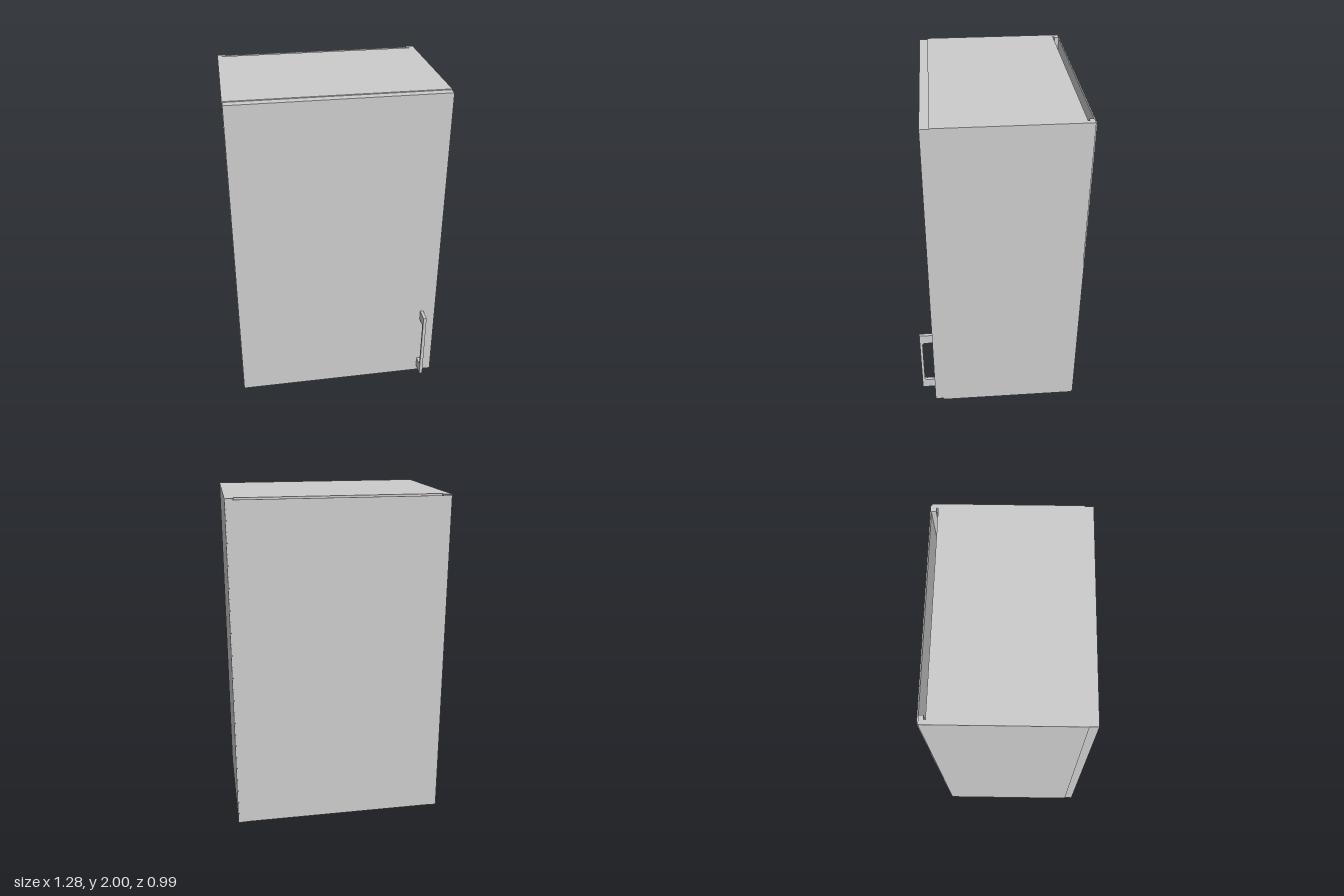
import * as THREE from 'three';

export function createModel() {
  const group = new THREE.Group();
  group.name = 'wallCabinet';
  const material = new THREE.MeshStandardMaterial({ color: 0xcccccc });

  const add = (name, geometry) => {
    const mesh = new THREE.Mesh(geometry, material);
    mesh.name = name;
    group.add(mesh);
    return mesh;
  };
  // Box given by its limits on each axis
  const panel = (name, [x0, x1], [y0, y1], [z0, z1]) =>
    add(name, new THREE.BoxGeometry(x1 - x0, y1 - y0, z1 - z0))
      .position.set((x0 + x1) / 2, (y0 + y1) / 2, (z0 + z1) / 2);

  // Side panels: plan section with a groove near the back, extruded upwards
  const outer = 0.64, inner = 0.59, grooveX = 0.613;
  const back = -0.49, front = 0.365;
  for (const [name, s] of [['leftSide', 1], ['rightSide', -1]]) {
    const section = new THREE.Shape([
      [outer, back], [outer, front], [inner, front], [inner, -0.453],
      [grooveX, -0.453], [grooveX, -0.463], [inner, -0.463], [inner, back],
    ].map(([x, z]) => new THREE.Vector2(s * x, -z)));
    add(name, new THREE.ExtrudeGeometry(section, { depth: 2, bevelEnabled: false })
      .rotateX(-Math.PI / 2));
  }

  // Top and bottom boards stop short of the back, leaving a slot
  panel('bottomBoard', [-inner, inner], [0, 0.05], [-0.453, front]);
  panel('topBoard', [-inner, inner], [1.95, 2], [-0.453, front]);

  // Thin back sheet, slightly inset from the outline
  panel('backSheet', [-0.634, 0.634], [0.006, 1.994], [-0.497, back]);

  // Door, slightly smaller than the carcass
  panel('door', [-0.637, 0.637], [0.008, 1.995], [front, 0.415]);

  // Bow handle: side outline with rounded inner corners, extruded across x
  const y0 = 0.045, y1 = 0.505, post = 0.065, r = 0.018;
  const zDoor = 0.415, zGrip = 0.48, zFront = 0.497;
  const bow = new THREE.Shape();
  bow.moveTo(-zDoor, y0);
  bow.lineTo(-zDoor, y0 + post);
  bow.lineTo(-zGrip + r, y0 + post);
  bow.quadraticCurveTo(-zGrip, y0 + post, -zGrip, y0 + post + r);
  bow.lineTo(-zGrip, y1 - post - r);
  bow.quadraticCurveTo(-zGrip, y1 - post, -zGrip + r, y1 - post);
  bow.lineTo(-zDoor, y1 - post);
  bow.lineTo(-zDoor, y1);
  bow.lineTo(-zFront, y1);
  bow.lineTo(-zFront, y0);
  bow.closePath();
  const handle = add('handle', new THREE.ExtrudeGeometry(bow, {
    depth: 0.02, bevelEnabled: false, curveSegments: 6,
  }).rotateY(Math.PI / 2));
  handle.position.x = 0.54;

  return group;
}
